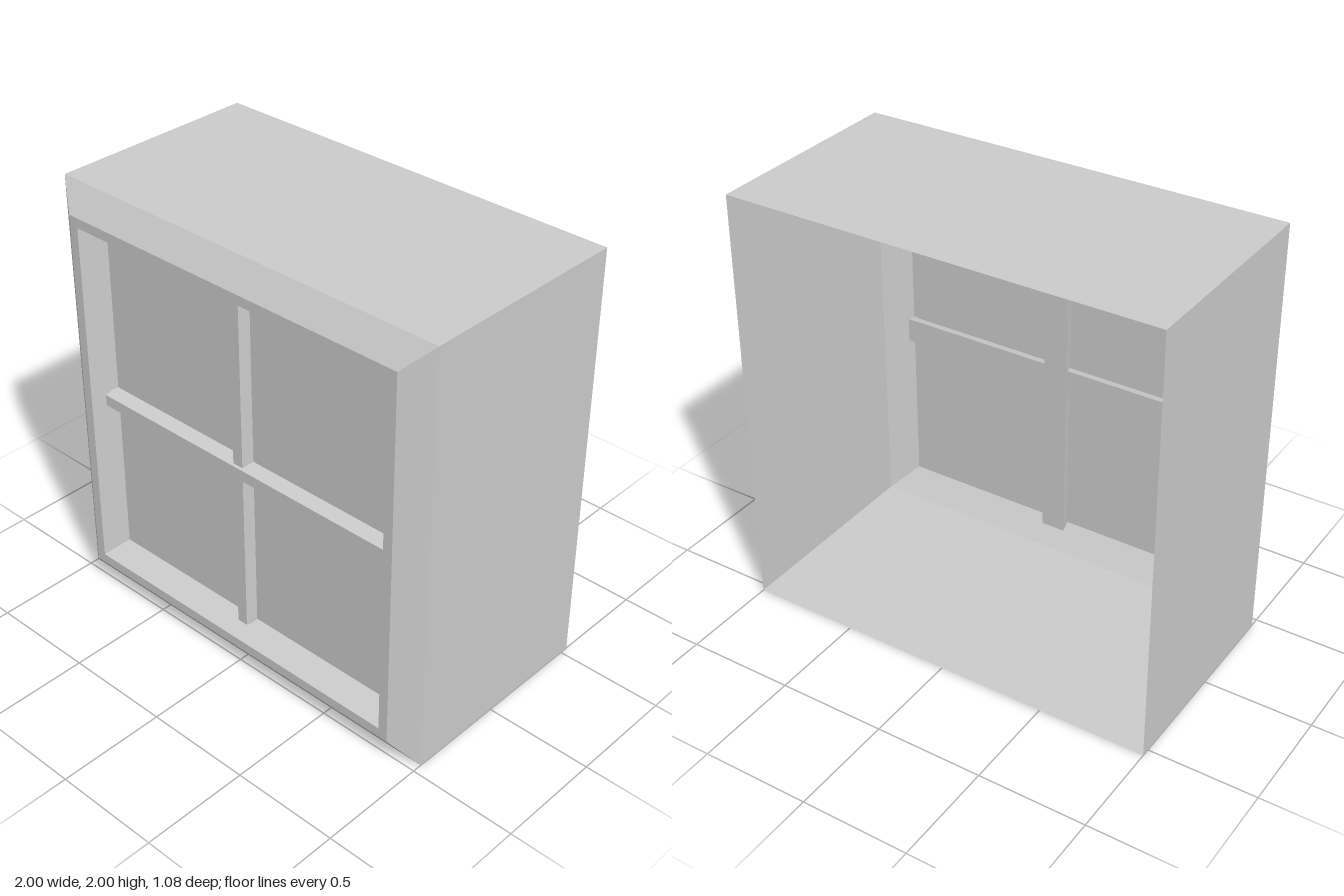
import * as THREE from 'three';

const material = new THREE.MeshStandardMaterial({
  color: 0xcccccc, flatShading: true, side: THREE.DoubleSide,
});

function addPart(parent, name, geometry) {
  const mesh = new THREE.Mesh(geometry, material);
  mesh.name = name;
  parent.add(mesh);
  return mesh;
}

// Square sheet swept through [half width, z] rings, open at both ends
function squareShell(rings) {
  const points = rings.map(([half, z]) => new THREE.Vector2(half * Math.SQRT2, z));
  const lathe = new THREE.LatheGeometry(points, 4, Math.PI / 4);
  lathe.rotateX(Math.PI / 2);
  const geometry = lathe.toNonIndexed();
  geometry.computeVertexNormals();
  return geometry;
}

// Glazing bar along x: wide at the back, narrow at the front
function taperedBar(length, backHalf, frontHalf, depth) {
  const geometry = new THREE.BoxGeometry(length, backHalf * 2, depth).toNonIndexed();
  const position = geometry.attributes.position;
  for (let i = 0; i < position.count; i++) {
    if (position.getZ(i) > 0) position.setY(i, Math.sign(position.getY(i)) * frontHalf);
  }
  geometry.computeVertexNormals();
  return geometry;
}

export function createModel() {
  const model = new THREE.Group();
  model.name = 'window';

  // Everything is centred on the middle of the window
  const body = new THREE.Group();
  body.name = 'windowBody';
  body.position.y = 1;
  model.add(body);

  // Thin outer box, open at the back
  addPart(body, 'casing', squareShell([[1, -0.54], [1, 0.455]]));

  // Bevelled border, flat lip and sloping reveal down to the pane
  addPart(body, 'frame', squareShell([[1, 0.455], [0.885, 0.54], [0.84, 0.54], [0.788, 0.43]]));

  const pane = addPart(body, 'pane', new THREE.PlaneGeometry(1.576, 1.576));
  pane.position.z = 0.43;

  // Crossed bars, passing through the pane; the horizontal one sits further forward
  const barGeometry = taperedBar(1.6, 0.056, 0.026, 0.11);
  const horizontalBar = addPart(body, 'horizontalBar', barGeometry);
  horizontalBar.position.z = 0.437;
  const verticalBar = addPart(body, 'verticalBar', barGeometry);
  verticalBar.rotation.z = Math.PI / 2;
  verticalBar.position.z = 0.425;

  return model;
}
